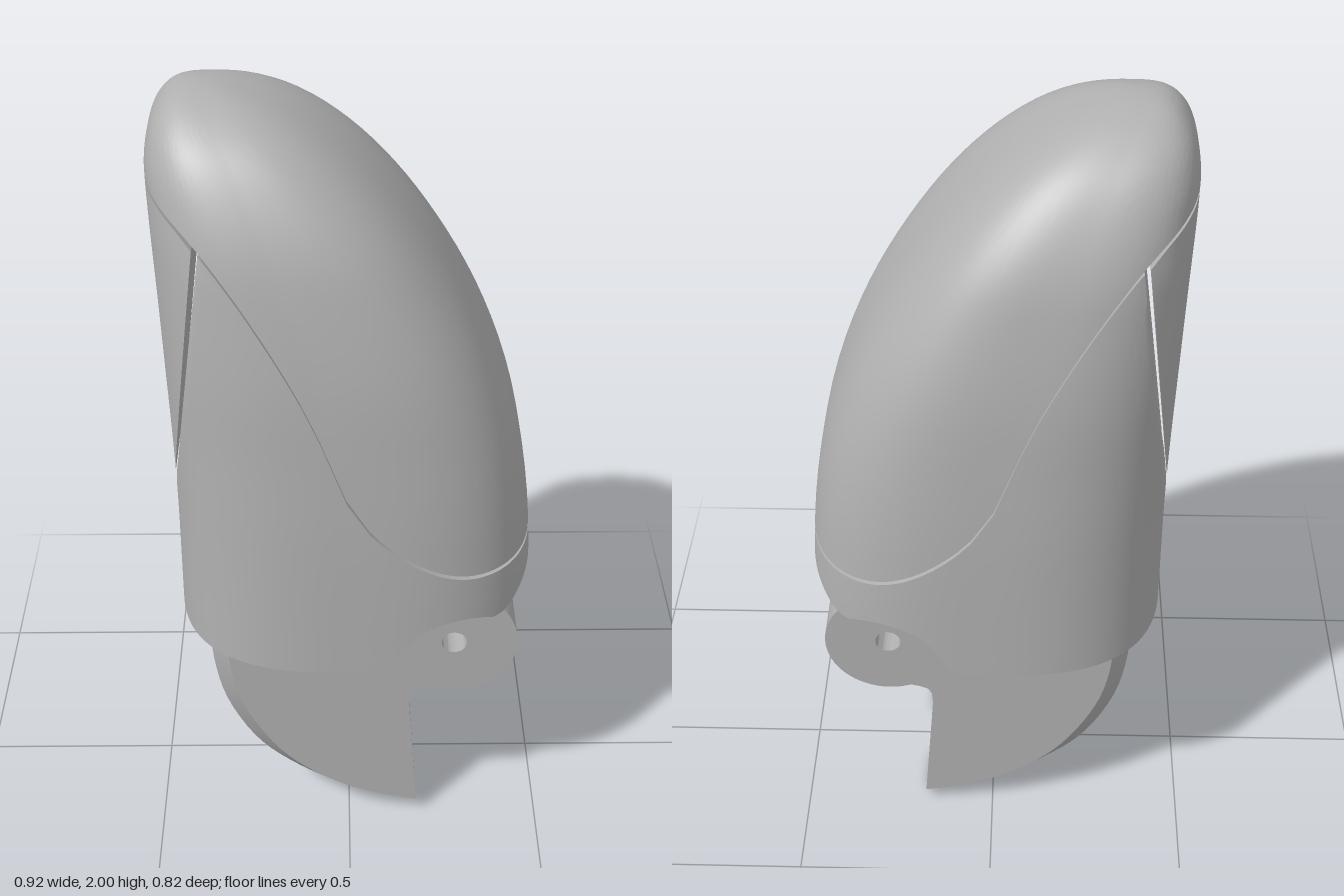
import * as THREE from 'three';
import { toCreasedNormals } from 'three/addons/utils/BufferGeometryUtils.js';

// Smooth interpolation through [input, value] pairs
function smooth(pts) {
  const slope = (i) => {
    const a = pts[Math.max(i - 1, 0)], b = pts[Math.min(i + 1, pts.length - 1)];
    return (b[1] - a[1]) / (b[0] - a[0]);
  };
  return (x) => {
    if (x <= pts[0][0]) return pts[0][1];
    const i = pts.findIndex((p) => p[0] >= x) - 1;
    if (i < 0) return pts[pts.length - 1][1];
    const [x0, y0] = pts[i], [x1, y1] = pts[i + 1], h = x1 - x0, t = (x - x0) / h;
    const t2 = t * t, t3 = t2 * t;
    return (2 * t3 - 3 * t2 + 1) * y0 + (t3 - 2 * t2 + t) * h * slope(i)
      + (3 * t2 - 2 * t3) * y1 + (t3 - t2) * h * slope(i + 1);
  };
}

// Fingertip profiles, measured against q = sqrt(2 - y) so the dome stays round
const backX = smooth([[0, -0.33], [0.1, -0.385], [0.22, -0.428], [0.316, -0.45], [0.424, -0.46],
  [0.775, -0.443], [1, -0.43], [1.17, -0.43]]);
const frontX = smooth([[0, -0.33], [0.1, -0.255], [0.2, -0.165], [0.316, -0.06], [0.447, 0.057],
  [0.632, 0.215], [0.775, 0.327], [0.894, 0.4], [1, 0.44], [1.095, 0.458], [1.17, 0.46]]);
const halfZ = smooth([[0, 0], [0.1, 0.075], [0.2, 0.148], [0.316, 0.225], [0.447, 0.29], [0.548, 0.33],
  [0.632, 0.352], [0.775, 0.383], [0.894, 0.396], [1, 0.405], [1.17, 0.41]]);
// Height of the seam between pad and shell along x
const seamY = smooth([[-0.46, 1.82], [-0.34, 1.73], [-0.25, 1.62], [-0.15, 1.46], [-0.08, 1.32],
  [-0.03, 1.18], [0.02, 1.08], [0.1, 0.99], [0.2, 0.92], [0.3, 0.885], [0.46, 0.875]]);
// Slanted plane that separates the nail from the shell
const nailX = (y) => -0.43 + (y - 1) * 0.118;

const N = 192, GAP = 0.005, BACK_POWER = 2.8, FRONT_POWER = 3;
const lerp = THREE.MathUtils.lerp;

function section(y) {
  const q = Math.sqrt(Math.max(2 - y, 0)), l = backX(q), r = frontX(q);
  return { c: (l + r) / 2, a: (r - l) / 2, w: halfZ(q) };
}

// Point on the rounded cross-section; the shell is cut flat behind the nail
function bodyPoint(i, y, cut) {
  const { c, a, w } = section(y), ang = (i / N) * Math.PI * 2;
  const co = Math.cos(ang), si = Math.sin(ang), e = 2 / (co < 0 ? BACK_POWER : FRONT_POWER);
  let x = c + a * Math.sign(co) * Math.abs(co) ** e;
  if (cut && y > 1) x = Math.max(x, nailX(y) + 0.004 + 0.015 * (y - 1));
  return [x, y, w * Math.sign(si) * Math.abs(si) ** e];
}

function seamAt(i, cut) {
  let lo = 0.8, hi = 1.95;
  for (let k = 0; k < 30; k++) {
    const m = (lo + hi) / 2;
    if (m < seamY(bodyPoint(i, m, cut)[0])) lo = m; else hi = m;
  }
  return lo;
}

// Lower rim, arched over the hinge
function rimY(x) {
  if (x < 0.105) return 0.625;
  if (x < 0.352) return 0.6 + Math.sqrt(Math.max(0.165 ** 2 - (x - 0.265) ** 2, 0));
  return 0.74 + 0.052 * THREE.MathUtils.smoothstep(x, 0.37, 0.47);
}

// Closed solid from rings (bottom to top), capped by strips across z
function loft(rings) {
  const n = rings[0].length, last = (rings.length - 1) * n, idx = [];
  for (let j = 0; j < rings.length - 1; j++) for (let i = 0; i < n; i++) {
    const a = j * n + i, b = j * n + (i + 1) % n, c = b + n, d = a + n;
    idx.push(a, d, c, a, c, b);
  }
  for (let i = 0; i < n / 2; i++) {
    const p = i, r = i + 1, s = n - i - 1, t = (n - i) % n;
    idx.push(p, r, s, p, s, t, last + p, last + s, last + r, last + p, last + t, last + s);
  }
  const g = new THREE.BufferGeometry();
  g.setAttribute('position', new THREE.Float32BufferAttribute(rings.flat(2), 3));
  g.setIndex(idx);
  return toCreasedNormals(g, 0.6);
}

const around = (fn) => Array.from({ length: N }, (_, i) => fn(i));
const steps = (n, fn) => Array.from({ length: n + 1 }, (_, j) => fn(j / n));

function shellGeometry() {
  const low = around((i) => rimY(bodyPoint(i, 0.75)[0]));
  const high = around((i) => seamAt(i, true) - GAP);
  return loft(steps(36, (t) => around((i) => bodyPoint(i, lerp(low[i], high[i], t), true))));
}

function padGeometry() {
  const q0 = around((i) => Math.sqrt(2 - seamAt(i, false) - GAP));
  return loft(steps(36, (t) => around((i) => bodyPoint(i, 2 - lerp(q0[i], 0.01, t) ** 2, false))));
}

// Nail: curved outer face and a flat face on the slanted plane
function nailGeometry() {
  const M = 24;
  const outer = (k, y) => {
    const { c, a, w } = section(y);
    const u = Math.min(Math.max((c - nailX(y)) / a, 0), 1);
    const z = k * w * (1 - u ** BACK_POWER) ** (1 / BACK_POWER);
    return [c - a * (1 - Math.abs(z / w) ** BACK_POWER) ** (1 / BACK_POWER), y, z];
  };
  return loft(steps(20, (t) => {
    const ring = [], yb = lerp(1.01, 1.725, t);
    for (let m = 0; m <= M; m++) {
      const k = 1 - (2 * m) / M;
      ring.push(outer(k, lerp(1.01, seamY(outer(k, 1.77)[0]) - GAP, t)));
    }
    for (let m = 1; m < M; m++) ring.push([nailX(yb), yb, outer(-1 + (2 * m) / M, yb)[2]]);
    return ring;
  }));
}

// Rounded back edge of a leg, and the same edge where the chamfer meets the side
const EDGE = [[0.18, 0], [0.08, 0.018], [-0.04, 0.06], [-0.16, 0.135], [-0.25, 0.225],
  [-0.32, 0.36], [-0.35, 0.5], [-0.355, 0.63], [-0.355, 0.66]];
const SIDE_EDGE = [[0.18, 0.045], [0.09, 0.065], [-0.01, 0.1], [-0.12, 0.17], [-0.2, 0.255],
  [-0.27, 0.38], [-0.302, 0.5], [-0.31, 0.63], [-0.31, 0.66]];
const vec = (pts) => pts.map(([x, y]) => new THREE.Vector2(x, y));
const EDGE_CURVE = new THREE.SplineCurve(vec(EDGE)), SIDE_CURVE = new THREE.SplineCurve(vec(SIDE_EDGE));

function hole(x, y, r) {
  return new THREE.Path().absarc(x, y, r, 0, Math.PI * 2, true);
}

function plate(shape, z0, z1) {
  return new THREE.ExtrudeGeometry(shape, { depth: z1 - z0, bevelEnabled: false, curveSegments: 32 })
    .translate(0, 0, z0);
}

// One layer of a leg; the layer is tapered on its zTaper face when given
function legLayer(z0, z1, radius, zTaper) {
  const from = EDGE_CURVE.getPoints(32), to = SIDE_CURVE.getPoints(32);
  const rest = vec([[0.1, 0.66], [0.2, 0.62], [0.22, 0.55], [0.22, 0.444], [0.19, 0.437],
    [0.167, 0.428], [0.157, 0.41], [0.155, 0.38]]);
  const shape = new THREE.Shape([...from, ...rest]);
  shape.holes.push(hole(-0.025, 0.57, radius));
  const g = plate(shape, z0, z1), p = g.attributes.position;
  if (zTaper !== undefined) for (let v = 0; v < p.count; v++) {
    if (Math.abs(p.getZ(v) - zTaper) > 1e-4) continue;
    const k = from.findIndex((e) => Math.hypot(e.x - p.getX(v), e.y - p.getY(v)) < 1e-4);
    if (k >= 0) p.setXY(v, to[k].x, to[k].y);
  }
  return toCreasedNormals(g, 0.5);
}

// Web joining the legs, flush with their back edge, with an arched notch
function webGeometry() {
  const heights = [0.36, 0.42, 0.48, 0.54, 0.6, 0.65];
  const s = new THREE.Shape();
  s.moveTo(-0.09, 0.36);
  s.quadraticCurveTo(-0.035, 0.55, 0, 0.56);
  s.quadraticCurveTo(0.035, 0.55, 0.09, 0.36);
  heights.slice(1).forEach((y) => s.lineTo(0.09, y));
  heights.slice(1).reverse().forEach((y) => s.lineTo(-0.09, y));
  const g = plate(s, 0, 0.14).rotateY(Math.PI / 2), p = g.attributes.position;
  const edgeX = smooth([[0.36, -0.32], [0.5, -0.35], [0.63, -0.355], [0.66, -0.355]]);
  for (let v = 0; v < p.count; v++) p.setX(v, p.getX(v) + edgeX(p.getY(v)));
  return toCreasedNormals(g, 0.5);
}

export function createModel() {
  const model = new THREE.Group();
  const grey = new THREE.MeshStandardMaterial({ color: 0xb0b0b0 });
  grey.name = 'plain grey';
  const add = (name, geometry, parent = model) => {
    const mesh = new THREE.Mesh(geometry, grey);
    mesh.name = name;
    parent.add(mesh);
  };

  add('shell', shellGeometry());
  add('fingerPad', padGeometry());
  add('nail', nailGeometry());
  add('backWeb', webGeometry());

  // Legs and hinge knuckles on both sides; the right leg has a counterbore
  for (const side of [1, -1]) {
    const leg = new THREE.Group();
    leg.name = side > 0 ? 'leftLeg' : 'rightLeg';
    const span = (a, b) => (side > 0 ? [a, b] : [-b, -a]);
    add('legInner', legLayer(...span(0.09, 0.2), 0.032), leg);
    add('legOuter', legLayer(...span(0.2, 0.26), side > 0 ? 0.032 : 0.07, side * 0.26), leg);
    const disc = new THREE.Shape().absarc(0.265, 0.6, 0.16, 0, Math.PI * 2, false);
    disc.holes.push(hole(0.265, 0.6, 0.032));
    add('knuckle', toCreasedNormals(plate(disc, ...span(0.09, 0.268)), 0.5), leg);
    model.add(leg);
  }
  return model;
}
